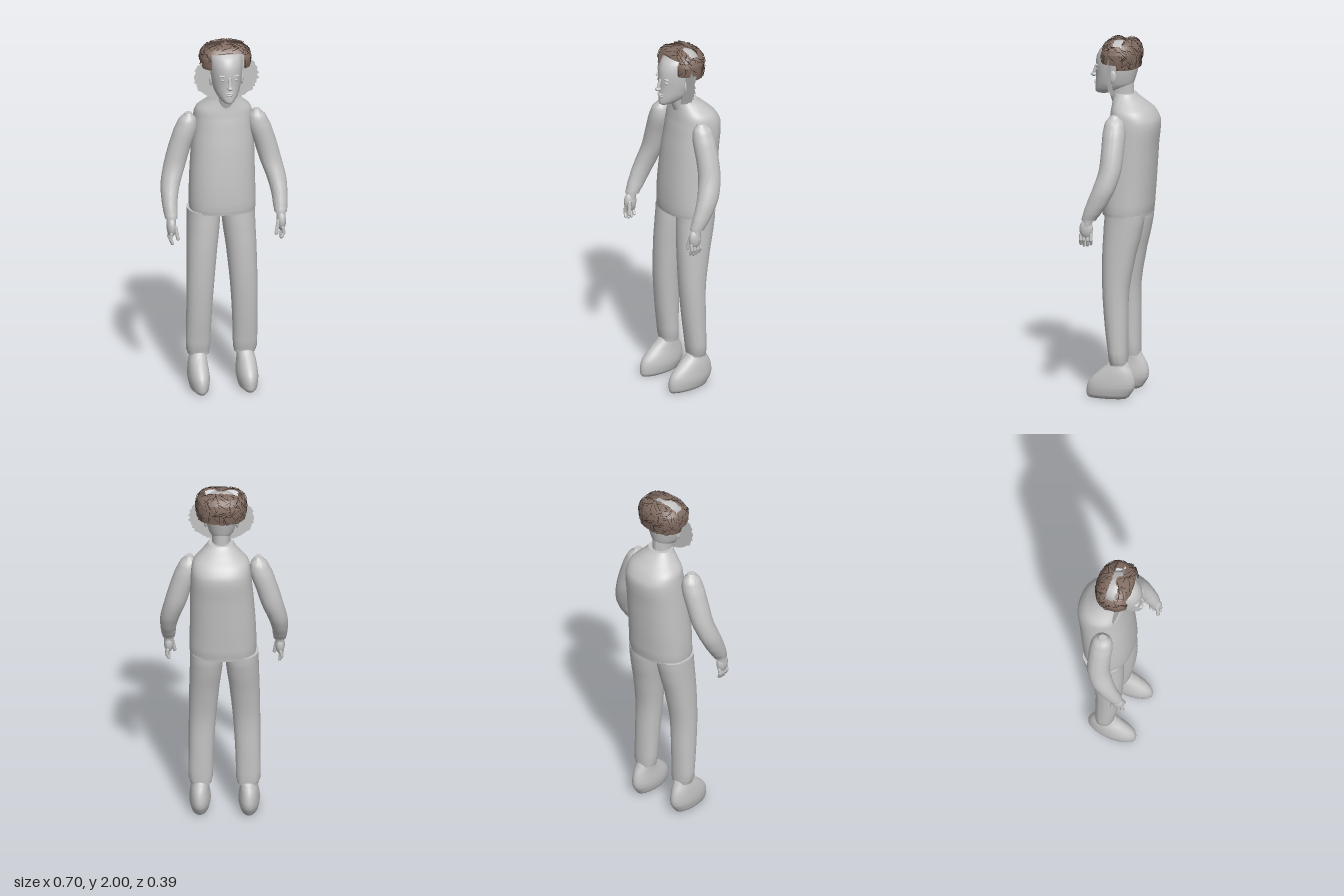
import * as THREE from 'three';
import { toCreasedNormals, mergeGeometries } from 'three/addons/utils/BufferGeometryUtils.js';

const grey = new THREE.MeshStandardMaterial({ name: 'grey', color: 0xc4c4c4, side: THREE.DoubleSide });
const hairBrown = new THREE.MeshStandardMaterial({ name: 'hairBrown', color: 0x806b60, side: THREE.DoubleSide });
const strandDark = new THREE.MeshStandardMaterial({ name: 'strandDark', color: 0x382c27, side: THREE.DoubleSide });

let seed = 7;
const rand = () => (seed = (seed * 16807) % 2147483647) / 2147483647;

const catmull = (a, b, c, d, t) =>
  0.5 * (2 * b + (c - a) * t + (2 * a - 5 * b + 4 * c - d) * t * t + (3 * b - a - 3 * c + d) * t * t * t);

// Closed skin over horizontal rings; rows ascend as [y, centreX, halfWidth, zFront, zBack]
function loft(rows, { side = 1, dx = 0, steps = 4, power = 1, sides = 36 } = {}) {
  const rings = [];
  rows.forEach((row, i) => {
    if (i === rows.length - 1) return rings.push(row);
    const before = rows[Math.max(i - 1, 0)], next = rows[i + 1], after = rows[Math.min(i + 2, rows.length - 1)];
    for (let k = 0; k < steps; k++) {
      rings.push(row.map((v, n) => n === 0 ? v + (next[0] - v) * k / steps : catmull(before[n], v, next[n], after[n], k / steps)));
    }
  });
  const pos = [], idx = [];
  const bend = (v) => Math.sign(v) * Math.abs(v) ** power;
  for (const [y, cx, rx, zf, zb] of rings) {
    for (let j = 0; j < sides; j++) {
      const a = j / sides * Math.PI * 2;
      pos.push(dx + side * cx + rx * bend(Math.cos(a)), y, (zf + zb) / 2 + (zf - zb) / 2 * bend(Math.sin(a)));
    }
  }
  const last = rings.length - 1, low = rings.length * sides;
  for (const [y, cx, , zf, zb] of [rings[0], rings[last]]) pos.push(dx + side * cx, y, (zf + zb) / 2);
  for (let j = 0; j < sides; j++) {
    const k = (j + 1) % sides;
    for (let i = 0; i < last; i++) {
      const a = i * sides + j, c = i * sides + k;
      idx.push(a, a + sides, c, a + sides, c + sides, c);
    }
    idx.push(low, j, k, low + 1, last * sides + k, last * sides + j);
  }
  const g = new THREE.BufferGeometry();
  g.setAttribute('position', new THREE.Float32BufferAttribute(pos, 3));
  g.setIndex(idx);
  return toCreasedNormals(g, 0.8);
}

function add(parent, name, geometry, material = grey) {
  const mesh = new THREE.Mesh(geometry, material);
  mesh.name = name;
  parent.add(mesh);
  return mesh;
}

const blob = (x, y, z, rx, ry, rz) => new THREE.SphereGeometry(1, 20, 14).scale(rx, ry, rz).translate(x, y, z);

function rod(from, to, r) {
  const a = new THREE.Vector3(...from), b = new THREE.Vector3(...to), d = b.clone().sub(a);
  const q = new THREE.Quaternion().setFromUnitVectors(new THREE.Vector3(0, 1, 0), d.clone().normalize());
  const m = a.add(b).multiplyScalar(0.5);
  return new THREE.CapsuleGeometry(r, d.length(), 4, 10).applyQuaternion(q).translate(m.x, m.y, m.z);
}

const CX = 0.018;   // the head sits slightly to one side

// Point on the hair dome: a = angle around, v = 0 at the crown to 1 at the hem
const domeProfile = [[0, 1.995], [0.5, 1.99], [0.78, 1.975], [0.93, 1.95], [1, 1.92], [0.98, 1.88], [0.9, 1.83]];
function dome(a, v, grow = 1) {
  const f = Math.min(v, 0.9999) * (domeProfile.length - 1), i = Math.floor(f), t = f - i;
  const [r0, y0] = domeProfile[i], [r1, y1] = domeProfile[i + 1], r = (r0 + (r1 - r0) * t) * grow;
  const c = Math.cos(a), s = Math.sin(a), p = s > 0 ? 0.65 : 0.9;
  return new THREE.Vector3(CX + 0.14 * r * Math.sign(c) * Math.abs(c) ** p,
    y0 + (y1 - y0) * t + (grow - 1) * 0.1, 0.015 + 0.106 * r * Math.sign(s) * Math.abs(s) ** p);
}

// True where hair grows: open forehead, raised hem at the sides, bare band on top
function hasHair({ x, y, z }) {
  if (z > 0.07 && Math.abs(x - CX) < 0.09 && y < 1.955) return false;
  if (y < (z > 0.02 ? 1.865 : 1.835)) return false;
  const band = y > 1.95 && z > -0.01 && z < 0.04 && Math.abs(x - CX) < 0.115;
  return !band || Math.hypot(x - CX, z - 0.05) < 0.036;
}

function hairShell() {
  const pos = [], around = 96, down = 42;
  for (let i = 0; i < down; i++) for (let j = 0; j < around; j++) {
    const at = (di, dj) => dome((j + dj) / around * Math.PI * 2, (i + di) / down);
    if (!hasHair(at(0.5, 0.5))) continue;
    const a = at(0, 0), b = at(1, 0), c = at(0, 1), d = at(1, 1);
    for (const p of [a, c, b, c, d, b]) pos.push(p.x, p.y, p.z);
  }
  const g = new THREE.BufferGeometry();
  g.setAttribute('position', new THREE.Float32BufferAttribute(pos, 3));
  return toCreasedNormals(g, 0.9);
}

// Thin crossing strands lying on the dome
function strands() {
  const list = [];
  for (let n = 0; n < 210; n++) {
    const a = rand() * Math.PI * 2, v = 0.1 + rand() * 0.85;
    const da = (rand() - 0.5) * 0.9, dv = (rand() - 0.5) * 0.5, pts = [];
    for (let k = 0; k <= 4; k++) {
      const p = dome(a + da * k / 4, THREE.MathUtils.clamp(v + dv * k / 4, 0.03, 0.98), 1.025);
      if (!hasHair(p)) break;
      pts.push(p);
    }
    if (pts.length > 2) list.push(new THREE.TubeGeometry(new THREE.CatmullRomCurve3(pts), 5, 0.0014, 3));
  }
  return mergeGeometries(list);
}

export function createModel() {
  const model = new THREE.Group();
  model.name = 'standingMan';

  add(model, 'torso', loft([
    [1.02, 0.008, 0.18, 0.118, -0.148], [1.05, 0.008, 0.183, 0.122, -0.153], [1.2, 0.008, 0.18, 0.118, -0.165],
    [1.4, 0.014, 0.172, 0.1, -0.18], [1.54, 0.018, 0.163, 0.08, -0.192], [1.6, 0.018, 0.15, 0.07, -0.16],
    [1.65, 0.02, 0.1, 0.064, -0.105], [1.69, 0.02, 0.068, 0.06, -0.062]], { power: 0.88, sides: 48 }));

  for (const side of [1, -1]) {
    const label = side > 0 ? 'left' : 'right';
    add(model, label + 'Leg', loft([
      [0.19, 0.128, 0.058, 0.053, -0.044], [0.22, 0.13, 0.066, 0.058, -0.046], [0.4, 0.127, 0.069, 0.08, -0.047],
      [0.6, 0.12, 0.075, 0.096, -0.05], [0.8, 0.109, 0.083, 0.1, -0.085], [0.95, 0.098, 0.09, 0.095, -0.12],
      [1.03, 0.096, 0.091, 0.09, -0.13]], { side, power: 0.92 }));
    add(model, label + 'Shoe', loft([
      [0, 0.134, 0.032, 0.172, -0.035], [0.012, 0.134, 0.048, 0.183, -0.055], [0.06, 0.134, 0.058, 0.183, -0.085],
      [0.1, 0.134, 0.057, 0.165, -0.09], [0.15, 0.134, 0.051, 0.115, -0.077], [0.2, 0.13, 0.044, 0.06, -0.05],
      [0.22, 0.13, 0.04, 0.045, -0.04]], { side }));
    add(model, label + 'Arm', loft([
      [1.03, 0.303, 0.034, 0.163, 0.082], [1.06, 0.304, 0.039, 0.155, 0.06], [1.12, 0.304, 0.044, 0.135, 0.02],
      [1.2, 0.294, 0.053, 0.105, -0.02], [1.3, 0.266, 0.06, 0.076, -0.048], [1.4, 0.238, 0.062, 0.07, -0.055],
      [1.5, 0.206, 0.062, 0.07, -0.055], [1.56, 0.193, 0.046, 0.06, -0.042], [1.595, 0.188, 0.018, 0.035, -0.01]],
      { side, dx: 0.004 }));

    // Hand: palm, four fingers side by side, thumb
    const x = (v) => 0.004 + side * v;
    const hand = [blob(x(0.304), 0.98, 0.137, 0.026, 0.055, 0.038), rod([x(0.303), 1.05, 0.122], [x(0.304), 1, 0.132], 0.026),
      rod([x(0.285), 0.985, 0.155], [x(0.272), 0.92, 0.165], 0.01)];
    for (let f = 0; f < 4; f++) {
      const z = 0.108 + f * 0.019, tip = 0.885 + Math.abs(f - 1.6) * 0.008;
      hand.push(rod([x(0.308), 0.95, z], [x(0.314), 0.92, z], 0.0095), rod([x(0.314), 0.92, z], [x(0.302), tip, z + 0.003], 0.0085));
    }
    add(model, label + 'Hand', mergeGeometries(hand));
  }

  const head = new THREE.Group();
  head.name = 'head';
  model.add(head);
  add(head, 'neck', loft([[1.6, CX, 0.056, 0.06, -0.05], [1.68, CX, 0.05, 0.085, -0.05], [1.76, CX, 0.055, 0.1, -0.05]]));
  add(head, 'skull', loft([
    [1.682, CX, 0.018, 0.155, 0.1], [1.69, CX, 0.034, 0.167, 0.05], [1.71, CX, 0.054, 0.168, -0.01],
    [1.74, CX, 0.07, 0.165, -0.045], [1.79, CX, 0.082, 0.162, -0.062], [1.84, CX, 0.088, 0.164, -0.075],
    [1.89, CX, 0.09, 0.158, -0.08], [1.93, CX, 0.084, 0.138, -0.072], [1.96, CX, 0.062, 0.1, -0.045],
    [1.977, CX, 0.025, 0.055, -0.005]]));
  add(head, 'nose', mergeGeometries([rod([CX, 1.83, 0.163], [CX, 1.785, 0.178], 0.009), blob(CX, 1.781, 0.177, 0.016, 0.011, 0.018)]));
  add(head, 'lips', mergeGeometries([blob(CX, 1.747, 0.162, 0.025, 0.006, 0.012), blob(CX, 1.737, 0.161, 0.021, 0.007, 0.012)]));
  for (const side of [1, -1]) {
    add(head, 'eye', blob(CX + side * 0.032, 1.82, 0.146, 0.016, 0.008, 0.011));
    add(head, 'brow', blob(CX + side * 0.034, 1.843, 0.147, 0.024, 0.006, 0.014)).rotation.z = 0;
    add(head, 'ear', blob(CX + side * 0.086, 1.79, 0.045, 0.01, 0.036, 0.02));
  }

  // Ragged flat sheet standing behind the face
  const outline = [];
  for (let i = 0; i < 90; i++) {
    const a = i / 90 * Math.PI * 2, r = 0.95 + rand() * 0.08;
    outline.push(new THREE.Vector2(CX + 0.18 * r * Math.cos(a), Math.min(1.81 + 0.14 * r * Math.sin(a), 1.935)));
  }
  add(head, 'hairSheet', new THREE.ShapeGeometry(new THREE.Shape(outline)).translate(0, 0, 0.055));

  add(head, 'hairCap', hairShell(), hairBrown);
  add(head, 'hairStrands', strands(), strandDark);
  return model;
}
